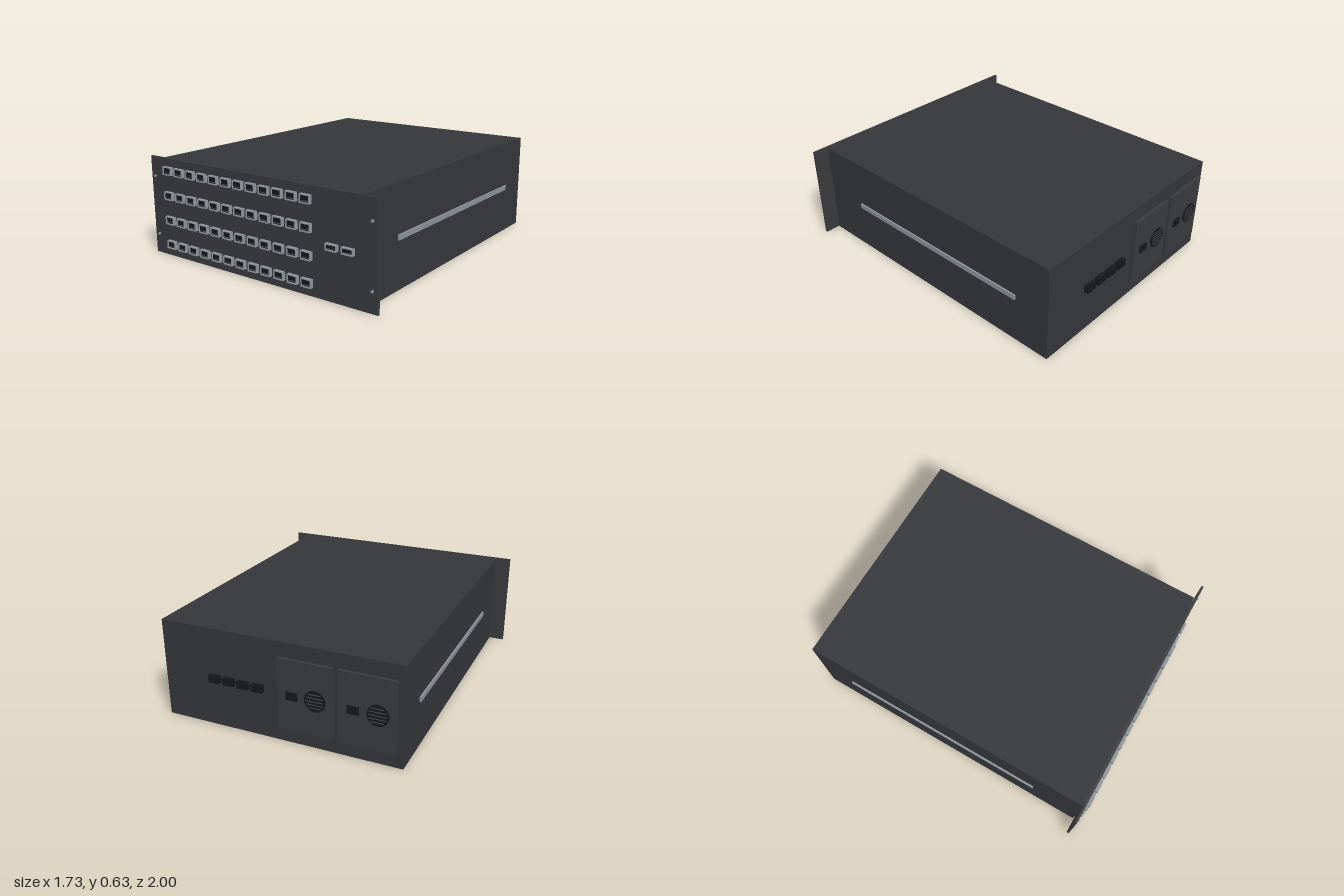
import * as THREE from 'three';

const mat = (color) => new THREE.MeshStandardMaterial({ color });

export function createModel() {
  const caseMat = mat(0x34363a), panelMat = mat(0x383a3d), blackMat = mat(0x15171a);
  const metalMat = mat(0x8c9498), trimMat = mat(0x4a4d51);
  const model = new THREE.Group();
  model.name = 'rackUnit';

  const add = (parent, name, geometry, material, x, y, z) => {
    const mesh = new THREE.Mesh(geometry, material);
    mesh.name = name;
    mesh.position.set(x, y, z);
    parent.add(mesh);
    return mesh;
  };
  const box = (parent, name, w, h, d, material, x, y, z) =>
    add(parent, name, new THREE.BoxGeometry(w, h, d), material, x, y, z);
  const group = (name, x, y, z) => {
    const g = new THREE.Group();
    g.name = name;
    g.position.set(x, y, z);
    model.add(g);
    return g;
  };

  // Chassis, a narrow neck and the wider front panel
  box(model, 'chassis', 1.53, 0.63, 1.925, caseMat, 0, 0.316, -0.0075);
  box(model, 'panelNeck', 1.5, 0.6, 0.02, caseMat, 0, 0.316, 0.957);
  box(model, 'frontPanel', 1.73, 0.634, 0.015, panelMat, 0, 0.317, 0.9695);

  // Rectangular ring whose front edge tapers inwards
  const ringGeometry = (w, h, t, d) => {
    const rect = (Type, a, b) => new Type([[-a, -b], [a, -b], [a, b], [-a, b]]
      .map(([x, y]) => new THREE.Vector2(x, y)));
    const shape = rect(THREE.Shape, w / 2, h / 2);
    shape.holes.push(rect(THREE.Path, w / 2 - t, h / 2 - t));
    const geo = new THREE.ExtrudeGeometry(shape, { depth: d, bevelEnabled: false });
    const p = geo.attributes.position;
    for (let i = 0; i < p.count; i++) {
      if (p.getZ(i) > d / 2 && Math.abs(p.getX(i)) > w / 2 - t / 2) {
        p.setX(i, p.getX(i) - Math.sign(p.getX(i)) * t * 0.5);
      }
    }
    geo.computeVertexNormals();
    return geo;
  };

  // A socket: metal shroud, dark inside and a thin contact tongue
  const socketMaker = (w, h) => {
    const ring = ringGeometry(w, h, 0.006, 0.023);
    return (name, x, y) => {
      const g = group(name, x, y, 0.977);
      add(g, 'shroud', ring, metalMat, 0, 0, 0);
      box(g, 'cavity', w - 0.012, h - 0.012, 0.014, blackMat, 0, 0, 0.007);
      box(g, 'tongue', w * 0.62, 0.004, 0.006, trimMat, 0, -h * 0.23, 0.016);
    };
  };

  // Four rows of twelve network ports
  const networkPort = socketMaker(0.074, 0.052);
  for (let row = 0; row < 4; row++) {
    for (let col = 0; col < 12; col++) networkPort('networkPort', -0.704 + col * 0.1, 0.077 + row * 0.16);
  }

  // Two flatter uplink ports
  const uplinkPort = socketMaker(0.079, 0.04);
  for (const x of [0.57, 0.678]) uplinkPort('uplinkPort', x, 0.317);

  // Rack screws and side rails, mirrored
  const screw = new THREE.CylinderGeometry(0.008, 0.008, 0.01, 16).rotateX(Math.PI / 2);
  for (const side of [-1, 1]) {
    for (const y of [0.127, 0.508]) add(model, 'rackScrew', screw, metalMat, side * 0.83, y, 0.982);
    box(model, 'sideRail', 0.01, 0.032, 1.375, metalMat, side * 0.77, 0.317, -0.047);
  }

  // Power supplies on the back, each with an inlet and a grilled fan
  const fan = new THREE.CylinderGeometry(0.065, 0.065, 0.007, 32).rotateX(Math.PI / 2);
  for (const x of [-0.555, -0.18]) {
    const g = group('powerSupply', x, 0.317, -0.97);
    box(g, 'supplyPlate', 0.34, 0.445, 0.021, panelMat, 0, 0, -0.0105);
    box(g, 'powerInlet', 0.07, 0.05, 0.008, blackMat, 0.08, 0, -0.025);
    add(g, 'fan', fan, blackMat, -0.065, 0, -0.0245);
    for (let i = -2; i <= 2; i++) {
      const y = i * 0.021;
      const length = 1.8 * Math.sqrt(0.06 ** 2 - y * y);
      box(g, 'fanSlat', length, 0.005, 0.004, trimMat, -0.065, y, -0.028);
    }
  }

  // Row of management ports on the back
  for (let i = 0; i < 4; i++) {
    box(model, 'managementPort', 0.072, 0.045, 0.03, blackMat, 0.125 + i * 0.096, 0.317, -0.984);
  }

  return model;
}
